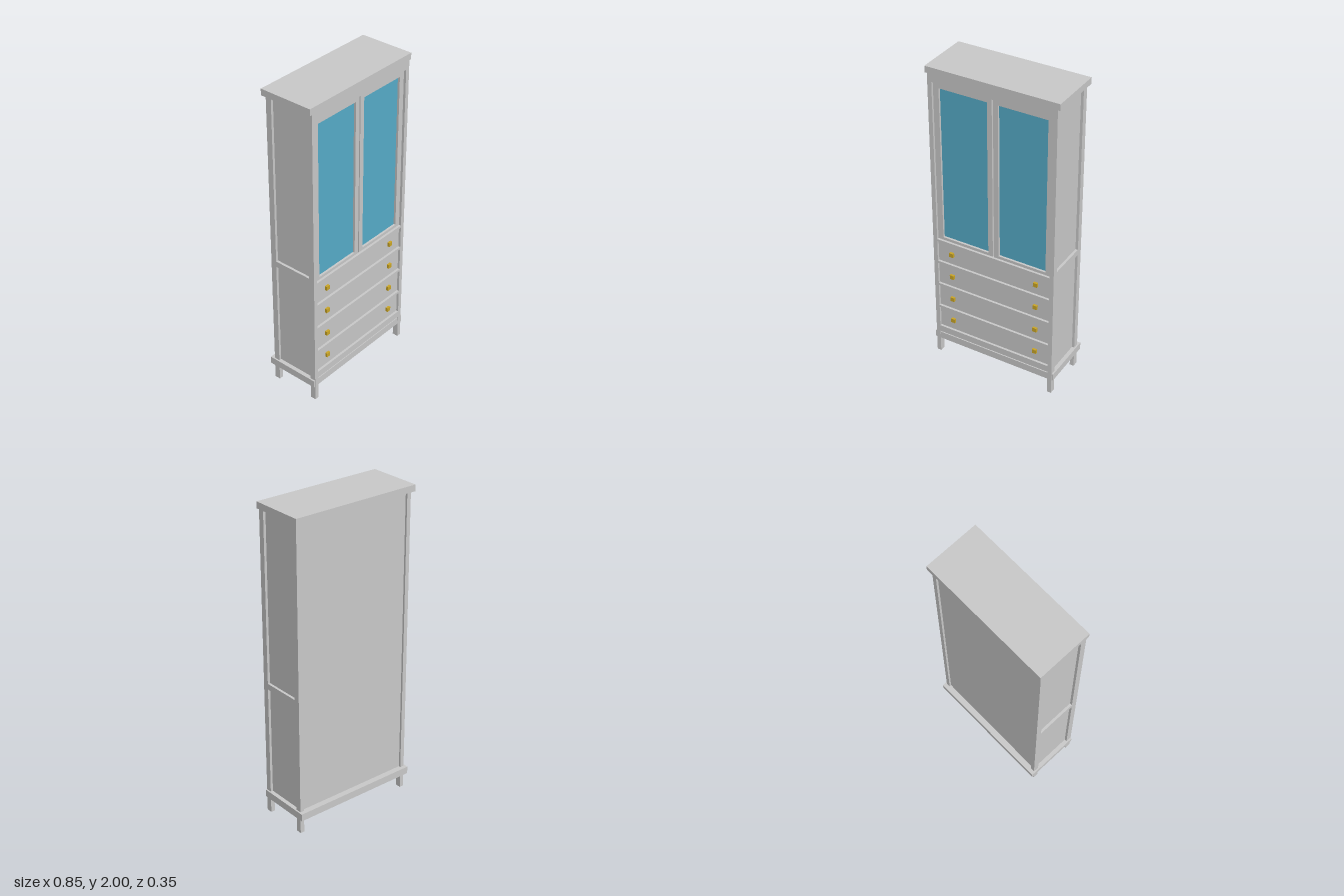
import * as THREE from 'three';

export function createModel() {
  const model = new THREE.Group();
  model.name = 'cabinet';

  const paint = new THREE.MeshStandardMaterial({ color: 0xc8c8c8 });
  paint.name = 'greyPaint';
  const glass = new THREE.MeshStandardMaterial({ color: 0x55abc7 });
  glass.name = 'blueGlass';
  const brass = new THREE.MeshStandardMaterial({ color: 0xc9a527 });
  brass.name = 'brass';

  // Box given by its limits on each axis
  function box(name, [x0, x1], [y0, y1], [z0, z1], material = paint, parent = model) {
    const mesh = new THREE.Mesh(new THREE.BoxGeometry(x1 - x0, y1 - y0, z1 - z0), material);
    mesh.position.set((x0 + x1) / 2, (y0 + y1) / 2, (z0 + z1) / 2);
    mesh.name = name;
    parent.add(mesh);
    return mesh;
  }
  // Limits mirrored to the chosen side
  const side = (s, a, b) => (s > 0 ? [a, b] : [-b, -a]);

  const frontPost = [0.138, 0.175];
  const backPost = [-0.153, -0.116];
  const face = 0.16; // front plane of doors and drawers

  // Top slab and base plinth
  box('topSlab', [-0.425, 0.425], [1.96, 2], [-0.173, 0.175]);
  box('basePlinth', [-0.42, 0.42], [0.1, 0.147], [-0.178, 0.173]);

  // Corner posts running down into legs, recessed side panels and middle rails
  for (const s of [1, -1]) {
    const name = s > 0 ? 'left' : 'right';
    box(name + 'FrontPost', side(s, 0.383, 0.41), [0, 1.96], frontPost);
    box(name + 'BackPost', side(s, 0.383, 0.41), [0, 1.96], backPost);
    box(name + 'SidePanel', side(s, 0.384, 0.394), [0.147, 1.96], [-0.116, 0.138]);
    box(name + 'SideRail', side(s, 0.39, 0.41), [0.85, 0.888], [-0.116, 0.138]);
  }

  // Back panel
  box('backPanel', [-0.383, 0.383], [0.147, 1.96], [-0.14, -0.13]);

  // Front rails: header, between the drawers, and bottom
  box('headerRail', [-0.383, 0.383], [1.91, 1.96], frontPost);
  box('doorRail', [-0.383, 0.383], [0.842, 0.857], frontPost);
  for (const y of [0.69, 0.523, 0.353]) {
    box('drawerRail', [-0.383, 0.383], [y - 0.008, y + 0.008], frontPost);
  }
  box('bottomRail', [-0.383, 0.383], [0.156, 0.2], frontPost);

  // Drawers with two square knobs each
  for (const [y0, y1] of [[0.2, 0.345], [0.361, 0.515], [0.531, 0.682], [0.698, 0.842]]) {
    const drawer = new THREE.Group();
    drawer.name = 'drawer';
    model.add(drawer);
    box('drawerFront', [-0.383, 0.383], [y0, y1], [0.138, face], paint, drawer);
    const y = (y0 + y1) / 2;
    for (const s of [1, -1]) {
      box('knob', side(s, 0.274, 0.301), [y - 0.0135, y + 0.0135], [face, 0.175], brass, drawer);
    }
  }

  // Framed doors with recessed glass
  function rectangle(Type, x0, x1, y0, y1) {
    return new Type([[x0, y0], [x1, y0], [x1, y1], [x0, y1]].map(p => new THREE.Vector2(...p)));
  }
  for (const s of [1, -1]) {
    const door = new THREE.Group();
    door.name = s > 0 ? 'leftDoor' : 'rightDoor';
    model.add(door);
    const pane = side(s, 0.035, 0.347);
    const outline = rectangle(THREE.Shape, ...side(s, 0.004, 0.383), 0.857, 1.91);
    outline.holes.push(rectangle(THREE.Path, ...pane, 0.875, 1.875));
    const frame = new THREE.Mesh(
      new THREE.ExtrudeGeometry(outline, { depth: face - 0.138, bevelEnabled: false }), paint);
    frame.position.z = 0.138;
    frame.name = 'doorFrame';
    door.add(frame);
    box('glassPane', pane, [0.875, 1.875], [0.14, 0.146], glass, door);
  }

  return model;
}
